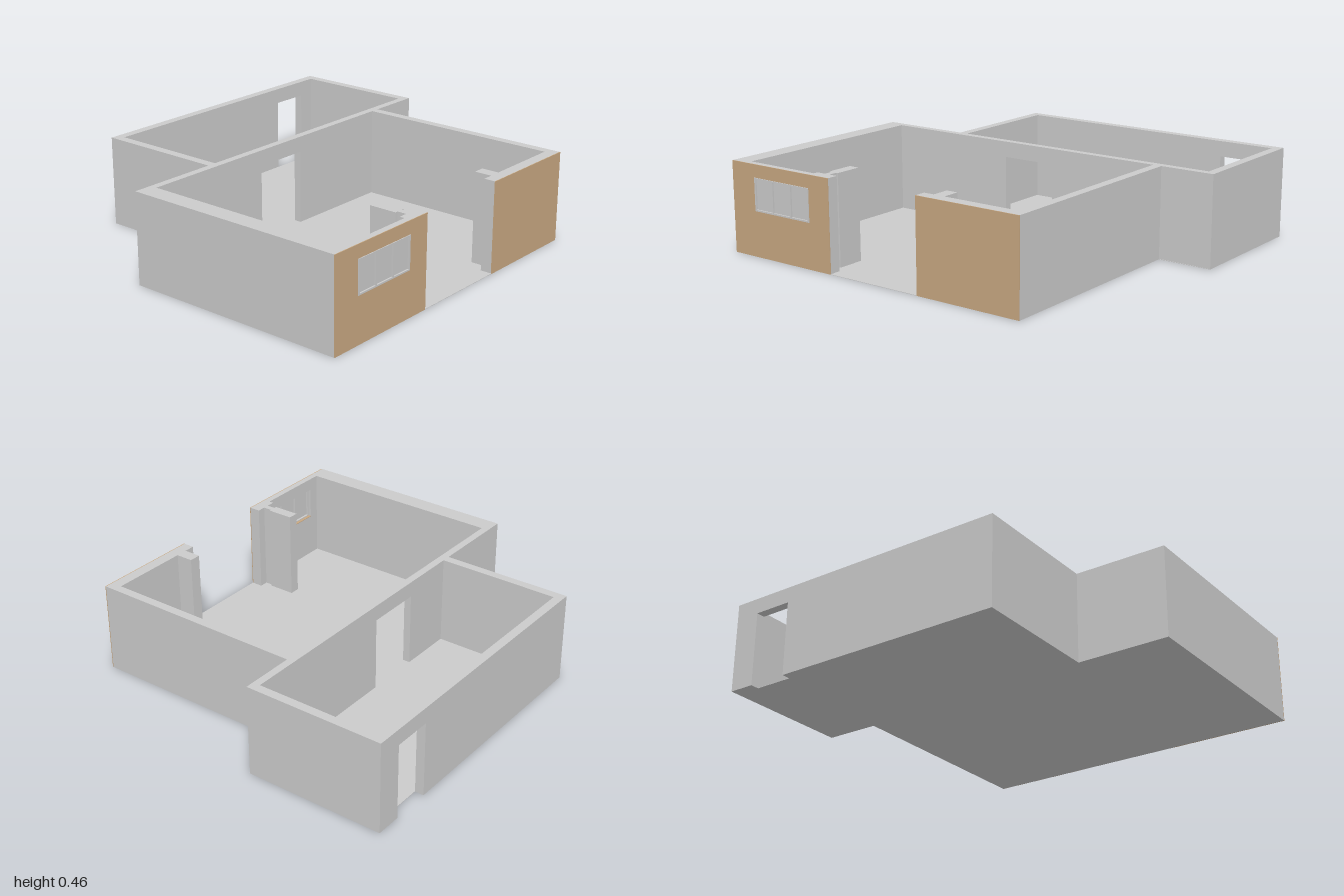
import * as THREE from 'three';

const H = 0.46;
const DOOR_H = 0.38;
const grey = new THREE.MeshStandardMaterial({ color: 0xcccccc });
const brown = new THREE.MeshStandardMaterial({ color: 0xc8a882 });

const shapeOf = (pts) => new THREE.Shape(pts.map(([x, y]) => new THREE.Vector2(x, y)));
const rect = (x0, x1, y0, y1) => [[x0, y0], [x1, y0], [x1, y1], [x0, y1]];

export function createModel() {
  const group = new THREE.Group();

  function add(name, geometry, material = grey) {
    const mesh = new THREE.Mesh(geometry, material);
    mesh.name = name;
    group.add(mesh);
  }

  // Floor-plan outline given as [x, z], raised to a height
  function plan(name, pts, height = H) {
    const shape = shapeOf(pts.map(([x, z]) => [x, -z]));
    const geo = new THREE.ExtrudeGeometry(shape, { depth: height, bevelEnabled: false });
    add(name, geo.rotateX(-Math.PI / 2));
  }

  // Wall elevation given as [x, y], thick from z0 to z1
  function elevation(name, pts, z0, z1, hole, material) {
    const shape = shapeOf(pts);
    if (hole) shape.holes.push(new THREE.Path(hole.map(([x, y]) => new THREE.Vector2(x, y))));
    const geo = new THREE.ExtrudeGeometry(shape, { depth: z1 - z0, bevelEnabled: false });
    add(name, geo.translate(0, 0, z0), material);
  }

  function box(name, x0, x1, y0, y1, z0, z1, material) {
    const geo = new THREE.BoxGeometry(x1 - x0, y1 - y0, z1 - z0);
    add(name, geo.translate((x0 + x1) / 2, (y0 + y1) / 2, (z0 + z1) / 2), material);
  }

  // Wall outline with a doorway cut up from the floor
  const wallWithDoor = (x0, x1, d0, d1) => [
    [x0, 0], [d0, 0], [d0, DOOR_H], [d1, DOOR_H], [d1, 0], [x1, 0], [x1, H], [x0, H],
  ];

  // Floor, notched at the back doorway
  plan('floor', [
    [-1, 0.915], [0.72, 0.915], [0.72, -0.21], [1, -0.21], [1, -0.925],
    [0.87, -0.925], [0.87, -0.88], [0.67, -0.88], [0.67, -0.925],
    [-0.53, -0.925], [-0.53, -0.25], [-1, -0.25],
  ], 0.002);

  // Walls across the house
  elevation('backWall', wallWithDoor(-0.53, 1, 0.67, 0.87), -0.925, -0.88);
  elevation('partitionWall', wallWithDoor(-1, 1, -0.2, 0.09), -0.25, -0.212);

  // Side walls of both rooms
  box('backRoomRightWall', -0.53, -0.485, 0, H, -0.88, -0.25);
  box('backRoomLeftWall', 0.955, 1, 0, H, -0.88, -0.25);
  box('frontRoomRightWall', -1, -0.905, 0, H, -0.212, 0.88);
  box('frontRoomLeftWall', 0.675, 0.72, 0, H, -0.212, 0.855);

  // Front wall either side of the wide opening
  const win = { x0: -0.85, x1: -0.495, y0: 0.23, y1: 0.395 };
  const windowHole = rect(win.x0, win.x1, win.y0, win.y1);
  elevation('windowWall', rect(-1, -0.49, 0, H), 0.88, 0.912, windowHole);
  plan('openingRightPier', [
    [-0.49, 0.912], [-0.37, 0.912], [-0.37, 0.855], [-0.415, 0.855], [-0.415, 0.81],
    [-0.405, 0.81], [-0.405, 0.67], [-0.46, 0.67], [-0.46, 0.81], [-0.445, 0.81],
    [-0.445, 0.855], [-0.49, 0.855],
  ]);
  plan('openingLeftPier', [
    [0.155, 0.912], [0.72, 0.912], [0.72, 0.855], [0.27, 0.855], [0.27, 0.765],
    [0.21, 0.765], [0.21, 0.855], [0.155, 0.855],
  ]);

  // Coloured facing on the front
  elevation('rightFacing', rect(-1, -0.37, 0, H), 0.912, 0.916, windowHole, brown);
  elevation('leftFacing', rect(0.155, 0.72, 0, H), 0.912, 0.916, null, brown);

  // Window: sill, frame, three panes and two bars
  const t = 0.008;
  box('windowSill', win.x0, win.x1, win.y0, win.y0 + 0.003, 0.88, 0.9, brown);
  elevation('windowFrame', windowHole, 0.895, 0.92,
    rect(win.x0 + t, win.x1 - t, win.y0 + t, win.y1 - t));
  box('windowPanes', win.x0 + t, win.x1 - t, win.y0 + t, win.y1 - t, 0.906, 0.912);
  for (const f of [1 / 3, 2 / 3]) {
    const x = win.x0 + (win.x1 - win.x0) * f;
    box('windowBar', x - t / 2, x + t / 2, win.y0 + t, win.y1 - t, 0.895, 0.92);
  }

  return group;
}
